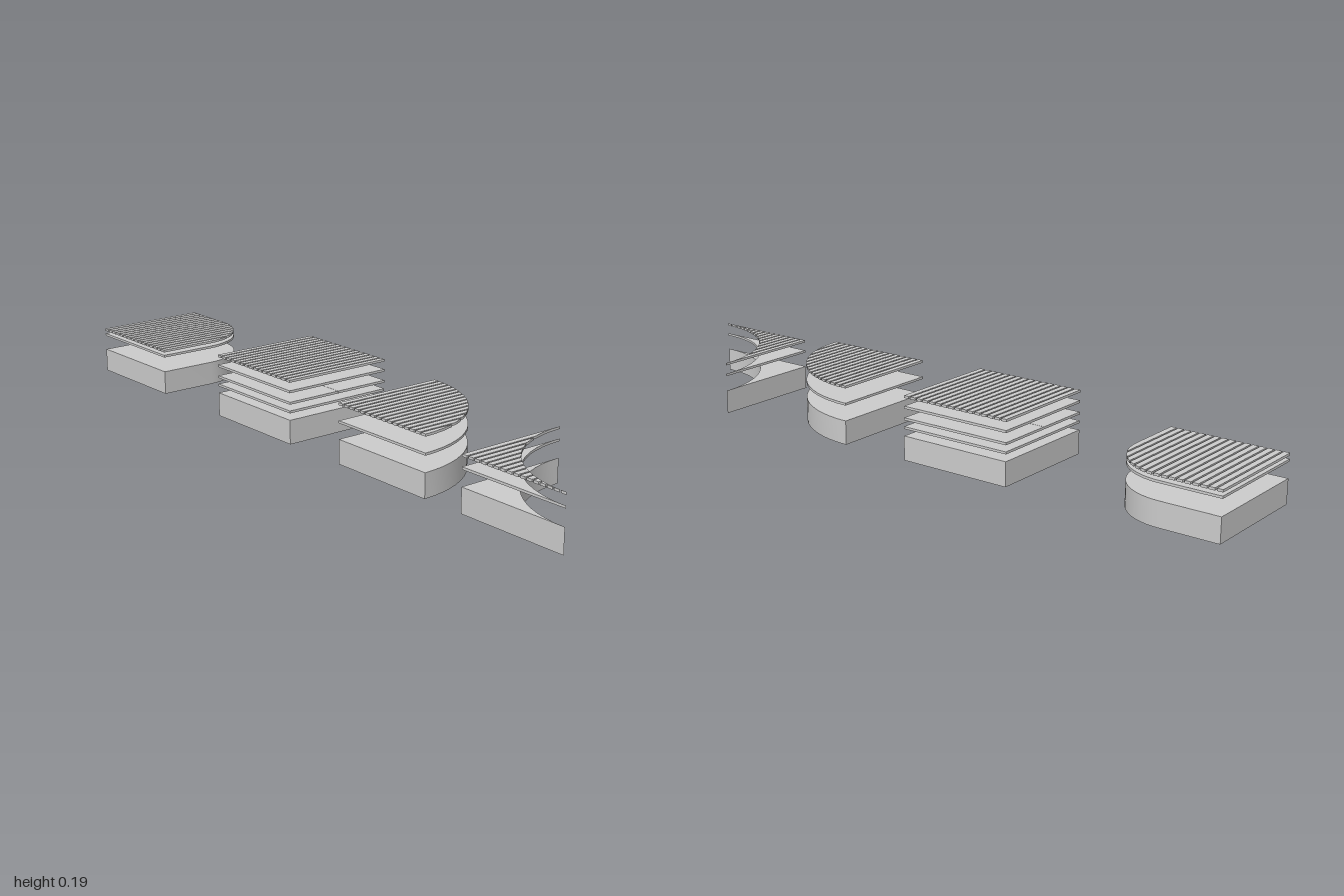
import * as THREE from 'three';
import { toCreasedNormals } from 'three/addons/utils/BufferGeometryUtils.js';

const H = 0.171;          // half the tile size
const BASE = 0.07;        // base height
const THICK = 0.007;      // plate and plank thickness
const PLANKS = 16;
const SEGMENTS = 16;

const material = new THREE.MeshStandardMaterial({ color: 0xcccccc, side: THREE.DoubleSide });

// points [x, z] along an arc, from angle a to angle b
function arc(cx, cz, r, a, b) {
  return Array.from({ length: SEGMENTS + 1 }, (_, i) => {
    const t = a + (b - a) * i / SEGMENTS;
    return [cx + r * Math.cos(t), cz + r * Math.sin(t)];
  });
}

// each edge is the +x side of a tile, running from its back to its front
const Q = Math.PI / 2;
const edges = {
  rounded: [[H, -H], ...arc(0, 0, H, 0, Q)],
  square: [[H, -H], [H, H]],
  quarter: arc(-H, -H, 2 * H, 0, Q),
  concave: arc(H, H, 2 * H, 3 * Q, 2 * Q),
};

// x of the edge at a given z
function edgeX(edge, z) {
  for (let i = 1; i < edge.length; i++) {
    const [x0, z0] = edge[i - 1], [x1, z1] = edge[i];
    if (z <= z1 + 1e-9) return x0 + (x1 - x0) * (z - z0) / Math.max(z1 - z0, 1e-9);
  }
  return edge[edge.length - 1][0];
}

// closed outline of the tile between two z values
function outline(edge, z0 = -H, z1 = H) {
  const inner = edge.filter(([, z]) => z > z0 + 1e-4 && z < z1 - 1e-4);
  const pts = [[-H, z0], [edgeX(edge, z0), z0], ...inner];
  const endX = edgeX(edge, z1);
  pts.push([endX, z1]);
  if (endX > -H + 1e-3) pts.push([-H, z1]);
  return pts;
}

const toShape = (pts) => new THREE.Shape(pts.map(([x, z]) => new THREE.Vector2(x, -z)));

function addMesh(group, geometry, name, y) {
  const mesh = new THREE.Mesh(geometry, material);
  mesh.name = name;
  mesh.position.y = y;
  group.add(mesh);
  return mesh;
}

// solid slab standing on y
function addPlate(group, pts, name, y) {
  const geo = new THREE.ExtrudeGeometry(toShape(pts), { depth: THICK, bevelEnabled: false });
  geo.rotateX(-Math.PI / 2);
  return addMesh(group, toCreasedNormals(geo, 0.5), name, y);
}

// thin base shell, open underneath
function addBase(group, edge) {
  const pts = outline(edge);
  const v = [];
  pts.forEach(([ax, az], i) => {
    const [bx, bz] = pts[(i + 1) % pts.length];
    v.push(ax, 0, az, ax, BASE, az, bx, BASE, bz, ax, 0, az, bx, BASE, bz, bx, 0, bz);
  });
  const wall = new THREE.BufferGeometry();
  wall.setAttribute('position', new THREE.Float32BufferAttribute(v, 3));
  wall.computeVertexNormals();
  addMesh(group, toCreasedNormals(wall, 0.5), 'baseWall', 0);
  const top = new THREE.ShapeGeometry(toShape(pts));
  top.rotateX(-Math.PI / 2);
  addMesh(group, top, 'baseTop', BASE);
}

// row of planks with narrow gaps, cut to the tile edge
function addPlanks(group, edge, y) {
  const deck = new THREE.Group();
  deck.name = 'plankDeck';
  const gap = 0.005;
  const pitch = (2 * H + gap) / PLANKS;
  for (let i = 0; i < PLANKS; i++) {
    const z = -H + i * pitch;
    addPlate(deck, outline(edge, z, z + pitch - gap), 'plank', y);
  }
  group.add(deck);
}

export function createModel() {
  const model = new THREE.Group();
  model.name = 'floorTileSet';

  const tiles = [
    { name: 'roundedCornerTile', edge: edges.rounded, z: -1 + H, plates: [0.115], deck: 0.131 },
    { name: 'squareTile', edge: edges.square, z: -0.2, plates: [0.09, 0.148], deck: 0.178 },
    { name: 'quarterCircleTile', edge: edges.quarter, z: 0.355, plates: [0.115], deck: 0.165 },
    { name: 'concaveTile', edge: edges.concave, z: 1 - H, plates: [0.115], deck: 0.148 },
  ];

  for (const { name, edge, z, plates, deck } of tiles) {
    const tile = new THREE.Group();
    tile.name = name;
    tile.position.z = z;
    addBase(tile, edge);
    for (const y of plates) addPlate(tile, outline(edge), 'plate', y);
    addPlanks(tile, edge, deck);

    // the square tile has one plate made of two halves
    if (name === 'squareTile') {
      for (const side of [-1, 1]) {
        const half = new THREE.BoxGeometry(H - 0.0005, THICK, 2 * H);
        addMesh(tile, half, 'halfPlate', 0.115 + THICK / 2).position.x = side * (H + 0.0005) / 2;
      }
    }
    model.add(tile);
  }
  return model;
}
